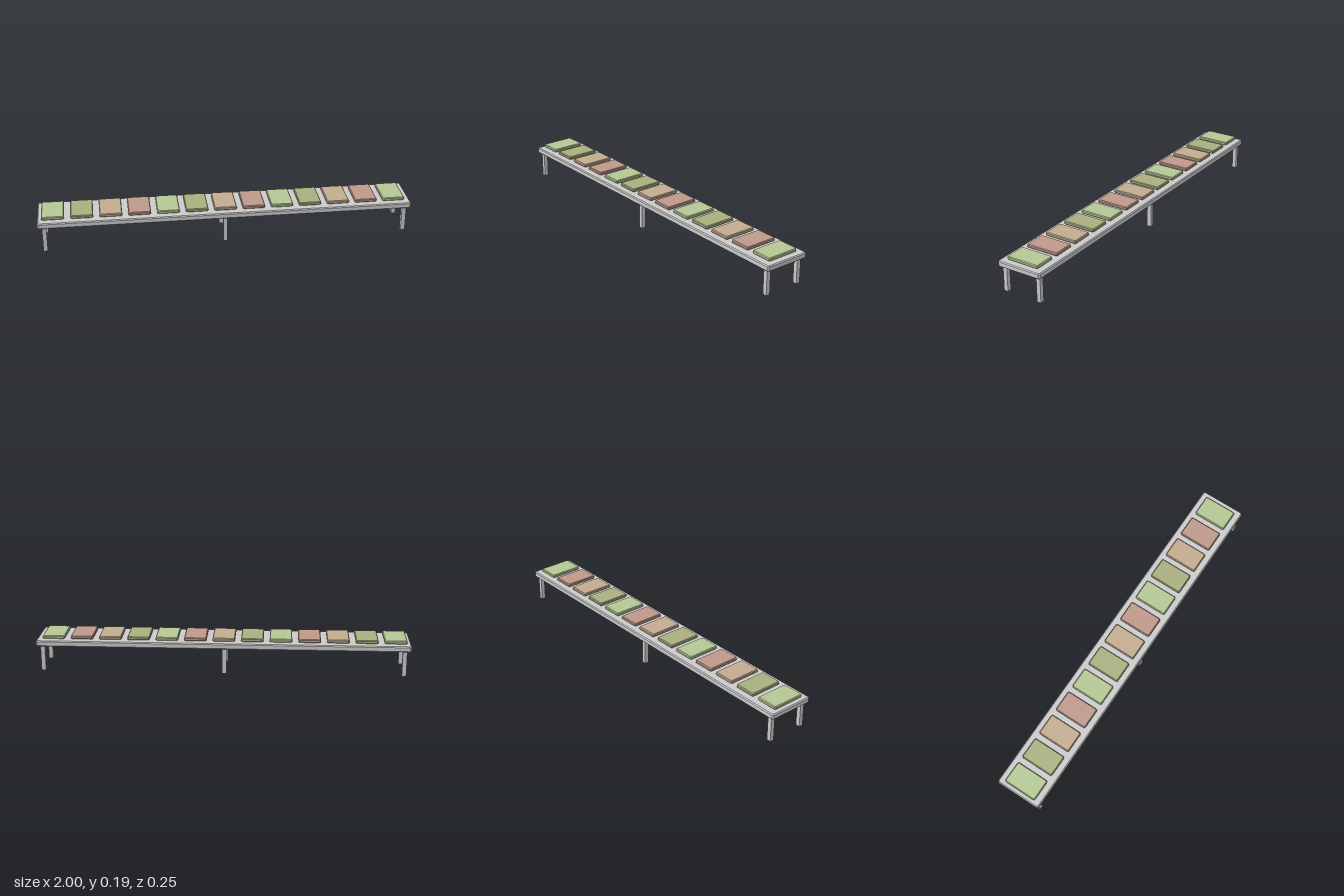
import * as THREE from 'three';

// Box with a single chamfer along every edge
function chamferedBox(w, h, d, c) {
  const x = w / 2 - c, z = d / 2 - c;
  const shape = new THREE.Shape([
    [-x, -z + c], [-x + c, -z], [x - c, -z], [x, -z + c],
    [x, z - c], [x - c, z], [-x + c, z], [-x, z - c],
  ].map(([a, b]) => new THREE.Vector2(a, b)));
  const geo = new THREE.ExtrudeGeometry(shape, {
    depth: h - 2 * c, bevelEnabled: true, bevelThickness: c, bevelSize: c, bevelSegments: 1,
  });
  geo.translate(0, 0, -h / 2 + c);
  geo.rotateX(-Math.PI / 2);
  return geo;
}

export function createModel() {
  const group = new THREE.Group();
  const grey = new THREE.MeshStandardMaterial({ color: 0xcccccc, flatShading: true });

  function add(name, geometry, material, x, y, z) {
    const mesh = new THREE.Mesh(geometry, material);
    mesh.name = name;
    mesh.position.set(x, y, z);
    group.add(mesh);
  }

  // Long bench slab
  add('benchTop', chamferedBox(2, 0.031, 0.252, 0.005), grey, 0, 0.1545, 0);

  // Three pairs of square legs
  const legGeo = new THREE.BoxGeometry(0.023, 0.14, 0.023);
  for (const x of [-0.966, -0.009, 0.966]) {
    for (const z of [-0.1, 0.1]) add(z > 0 ? 'frontLeg' : 'backLeg', legGeo, grey, x, 0.07, z);
  }

  // Row of thin pads in four repeating colours
  const padMaterials = [0xb5c894, 0xaab080, 0xc4ac90, 0xbe998a].map(
    (color) => new THREE.MeshStandardMaterial({ color, flatShading: true }));
  const padGeo = chamferedBox(0.12, 0.018, 0.184, 0.004);
  for (let i = 0; i < 13; i++) {
    add('pad', padGeo, padMaterials[i % 4], -0.919 + i * 0.1523, 0.181, 0);
  }
  return group;
}
